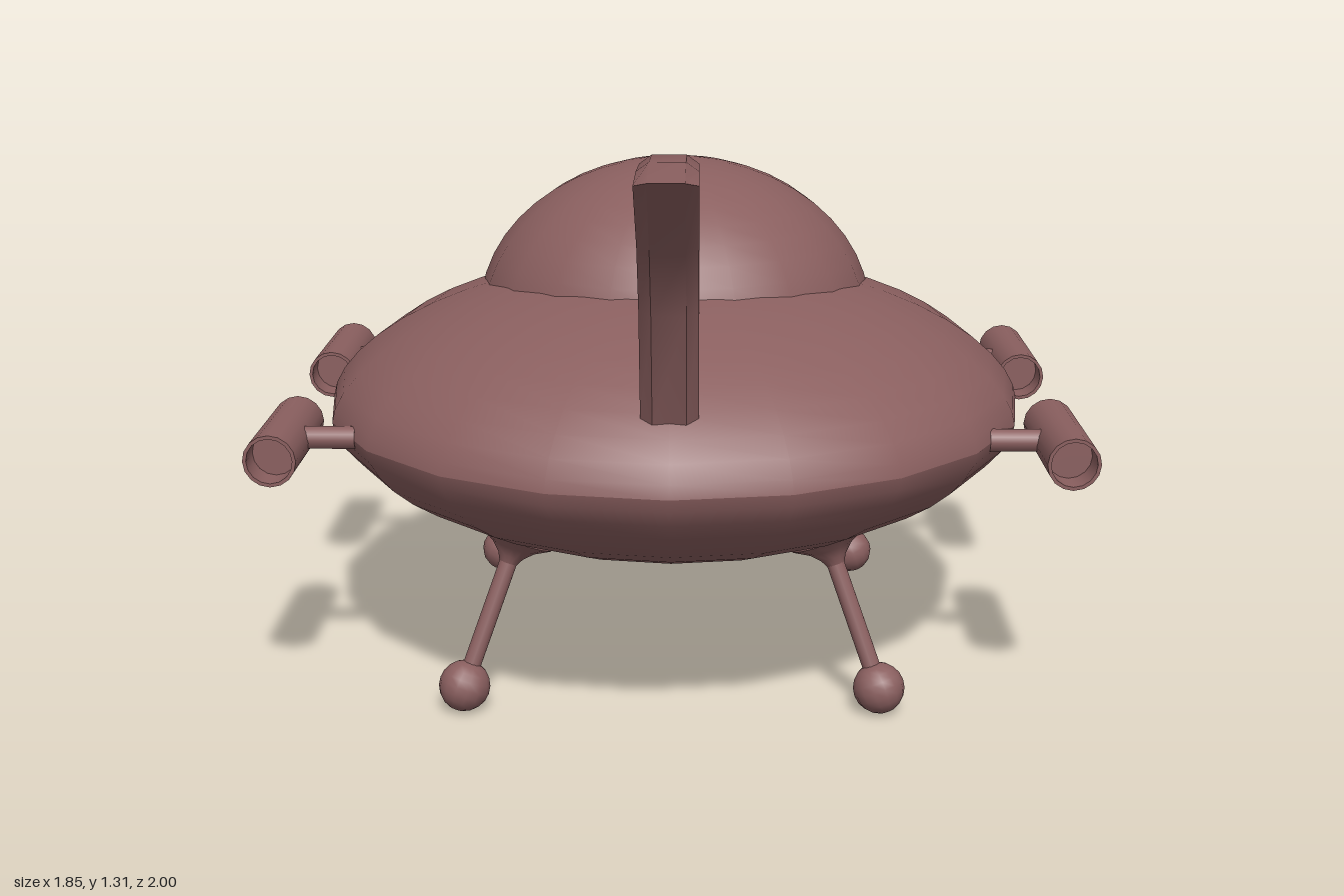
import * as THREE from 'three';
import { toCreasedNormals } from 'three/addons/utils/BufferGeometryUtils.js';

const material = new THREE.MeshStandardMaterial({ color: 0x8a5f5f, side: THREE.DoubleSide });
const RIM_Y = 0.62;
const BODY_Z = -0.105;

function addMesh(parent, name, geometry, x = 0, y = 0, z = 0) {
  const mesh = new THREE.Mesh(geometry, material);
  mesh.name = name;
  mesh.position.set(x, y, z);
  parent.add(mesh);
  return mesh;
}

// Lathe from [radius, height] pairs; keeps hard corners sharp
function turned(points, sides, crease = 0.6) {
  const profile = points.map(([r, y]) => new THREE.Vector2(r, y));
  return toCreasedNormals(new THREE.LatheGeometry(profile, sides), crease);
}

// Half of the lens-shaped saucer, from the rim to the pole
function saucerHalf(height, up) {
  const points = [];
  const steps = 12;
  for (let i = 0; i <= steps; i++) {
    const a = (i / steps) * Math.PI / 2;
    const t = i === steps ? 0 : Math.cos(a);
    points.push(new THREE.Vector2(0.82 * t, up * height * Math.pow(1 - t * t, 0.6)));
  }
  if (up < 0) points.reverse();
  return new THREE.LatheGeometry(points, 20);
}

// Swept-back fin, outlined in side view (z, y)
function finGeometry() {
  const s = new THREE.Shape();
  s.moveTo(0.24, 0.86);
  s.lineTo(0.247, 0.925);
  s.splineThru([[0.37, 1.125], [0.46, 1.23], [0.595, 1.3]].map(p => new THREE.Vector2(...p)));
  s.lineTo(0.8, 1.315);
  s.lineTo(1.0, 1.305);
  s.lineTo(0.8, 1.137);
  s.lineTo(0.7, 0.995);
  s.lineTo(0.62, 0.75);
  s.lineTo(0.59, 0.68);
  const g = new THREE.ExtrudeGeometry(s, {
    depth: 0.07, bevelEnabled: true, bevelSegments: 1, curveSegments: 3,
    bevelThickness: 0.025, bevelSize: 0.018, bevelOffset: -0.018,
  });
  g.translate(0, 0, -0.035);
  g.rotateY(-Math.PI / 2);
  return toCreasedNormals(g, 0.5);
}

// Leg built along its own axis, from the ball foot up to the flared mount
function addLeg(parent, sx, foot, hip) {
  const leg = new THREE.Group();
  leg.name = 'landingLeg';
  const from = new THREE.Vector3(sx * foot[0], foot[1], foot[2]);
  const to = new THREE.Vector3(sx * hip[0], hip[1], hip[2]);
  const length = from.distanceTo(to);
  leg.position.copy(from);
  leg.quaternion.setFromUnitVectors(new THREE.Vector3(0, 1, 0), to.sub(from).normalize());
  addMesh(leg, 'foot', new THREE.SphereGeometry(0.058, 14, 10));
  addMesh(leg, 'strut', new THREE.CylinderGeometry(0.021, 0.021, length, 10), 0, length / 2, 0);
  addMesh(leg, 'mount', turned(
    [[0.021, -0.075], [0.03, -0.058], [0.05, -0.038], [0.085, -0.018], [0.085, 0.01]], 14), 0, length, 0);
  parent.add(leg);
}

export function createModel() {
  const model = new THREE.Group();
  model.name = 'flyingSaucer';

  // Hull and canopy
  addMesh(model, 'upperHull', saucerHalf(0.34, 1), 0, RIM_Y, BODY_Z);
  addMesh(model, 'lowerHull', saucerHalf(0.33, -1), 0, RIM_Y, BODY_Z);
  const dome = addMesh(model, 'dome',
    new THREE.SphereGeometry(0.475, 20, 12, 0, Math.PI * 2, 0, Math.PI / 2), 0, 0.8, -0.22);
  dome.scale.y = 0.8;

  // Tail fin
  addMesh(model, 'tailFin', finGeometry());

  // Lamp with raised rim and domed lens
  const lamp = turned([[0, -0.2], [0.035, -0.195], [0.062, -0.18], [0.068, -0.165], [0.075, -0.165],
    [0.088, -0.165], [0.088, -0.15], [0.08, -0.145], [0.076, -0.1], [0.065, -0.05],
    [0.045, -0.02], [0, -0.005]], 16);
  lamp.rotateX(Math.PI / 2);
  addMesh(model, 'lamp', lamp, 0, 0.727, -0.8);

  // Hollow thruster pods with a pointed core at one end
  const pod = turned([[0, -0.215], [0.049, -0.145], [0.05, -0.165], [0.058, -0.165],
    [0.058, 0.165], [0.05, 0.165], [0.05, 0.1], [0, 0.1]], 16);
  pod.rotateX(Math.PI / 2);
  const arm = new THREE.CylinderGeometry(0.026, 0.026, 0.12, 12);
  arm.rotateZ(Math.PI / 2);

  for (const sx of [-1, 1]) {
    for (const z of [0.27, -0.485]) {
      addMesh(model, 'thrusterPod', pod, sx * 0.865, 0.613, z);
      addMesh(model, 'podArm', arm, sx * 0.765, 0.62, z);
    }
    addLeg(model, sx, [0.468, 0.06, 0.348], [0.345, 0.4, 0.265]);
    addLeg(model, sx, [0.468, 0.06, -0.585], [0.345, 0.4, -0.5]);
  }
  return model;
}
